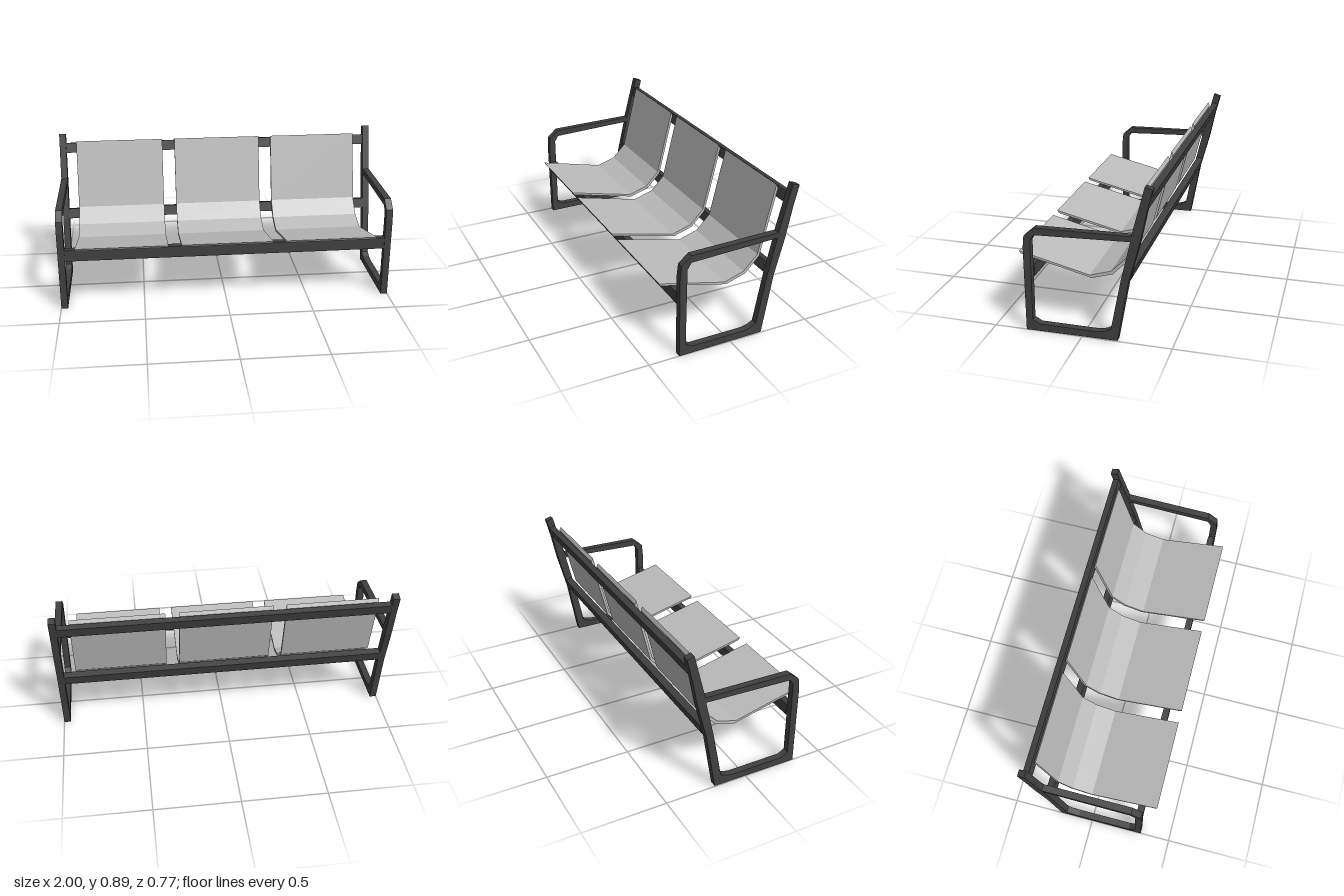
import * as THREE from 'three';

// Extrude a side profile given as [z, y] points across x, centred on x = 0
function extrudeAcross(outline, width, material, hole) {
  const toVectors = (pts) => pts.map(([z, y]) => new THREE.Vector2(-z, y));
  const shape = new THREE.Shape(toVectors(outline));
  if (hole) shape.holes.push(new THREE.Path(toVectors(hole)));
  const geometry = new THREE.ExtrudeGeometry(shape, { depth: width, bevelEnabled: false });
  geometry.translate(0, 0, -width / 2);
  geometry.rotateY(Math.PI / 2);
  return new THREE.Mesh(geometry, material);
}

export function createModel() {
  const bench = new THREE.Group();
  bench.name = 'bench';

  const frameMetal = new THREE.MeshStandardMaterial({ color: 0x404040 });
  frameMetal.name = 'dark grey frame';
  const seatPanel = new THREE.MeshStandardMaterial({ color: 0xbcbcbc });
  seatPanel.name = 'light grey seat';

  // Side frames: front leg, armrest, floor bar and leaning back post in one loop
  const frameOutline = [
    [0.318, 0], [0.32, 0.49], [0.313, 0.557], [0.255, 0.608], [-0.274, 0.618],
    [-0.345, 0.893], [-0.387, 0.879], [-0.357, 0.76], [-0.32, 0.58],
    [-0.262, 0.36], [-0.2, 0.004],
  ];
  const frameOpening = [
    [0.28, 0.065], [0.24, 0.043], [-0.085, 0.043], [-0.13, 0.052], [-0.163, 0.07],
    [-0.22, 0.37], [-0.27, 0.587], [0.255, 0.567], [0.278, 0.53],
  ];
  for (const [name, side] of [['leftFrame', 1], ['rightFrame', -1]]) {
    const frame = extrudeAcross(frameOutline, 0.04, frameMetal, frameOpening);
    frame.name = name;
    frame.position.x = side * 0.98;
    bench.add(frame);
  }

  // Cross rails between the frames; the back pair leans with the posts
  const rails = [
    ['frontRail', 0.342, 0.295, 0.07, 0.04, 0],
    ['lowerBackRail', 0.39, -0.251, 0.062, 0.042, -0.25],
    ['upperBackRail', 0.8, -0.348, 0.062, 0.036, -0.25],
  ];
  for (const [name, y, z, height, depth, tilt] of rails) {
    const rail = new THREE.Mesh(new THREE.BoxGeometry(1.92, height, depth), frameMetal);
    rail.name = name;
    rail.position.set(0, y, z);
    rail.rotation.x = tilt;
    bench.add(rail);
  }

  // Three bent seat panels
  const seatProfile = [
    [0.388, 0.415], [-0.015, 0.319], [-0.135, 0.357], [-0.22, 0.443], [-0.317, 0.85],
    [-0.328, 0.828], [-0.232, 0.43], [-0.145, 0.34], [-0.025, 0.303], [0.379, 0.4],
  ];
  ['rightSeat', 'middleSeat', 'leftSeat'].forEach((name, i) => {
    const seat = extrudeAcross(seatProfile, 0.543, seatPanel);
    seat.name = name;
    seat.position.x = (i - 1) * 0.621 - 0.002;
    bench.add(seat);
  });

  return bench;
}
